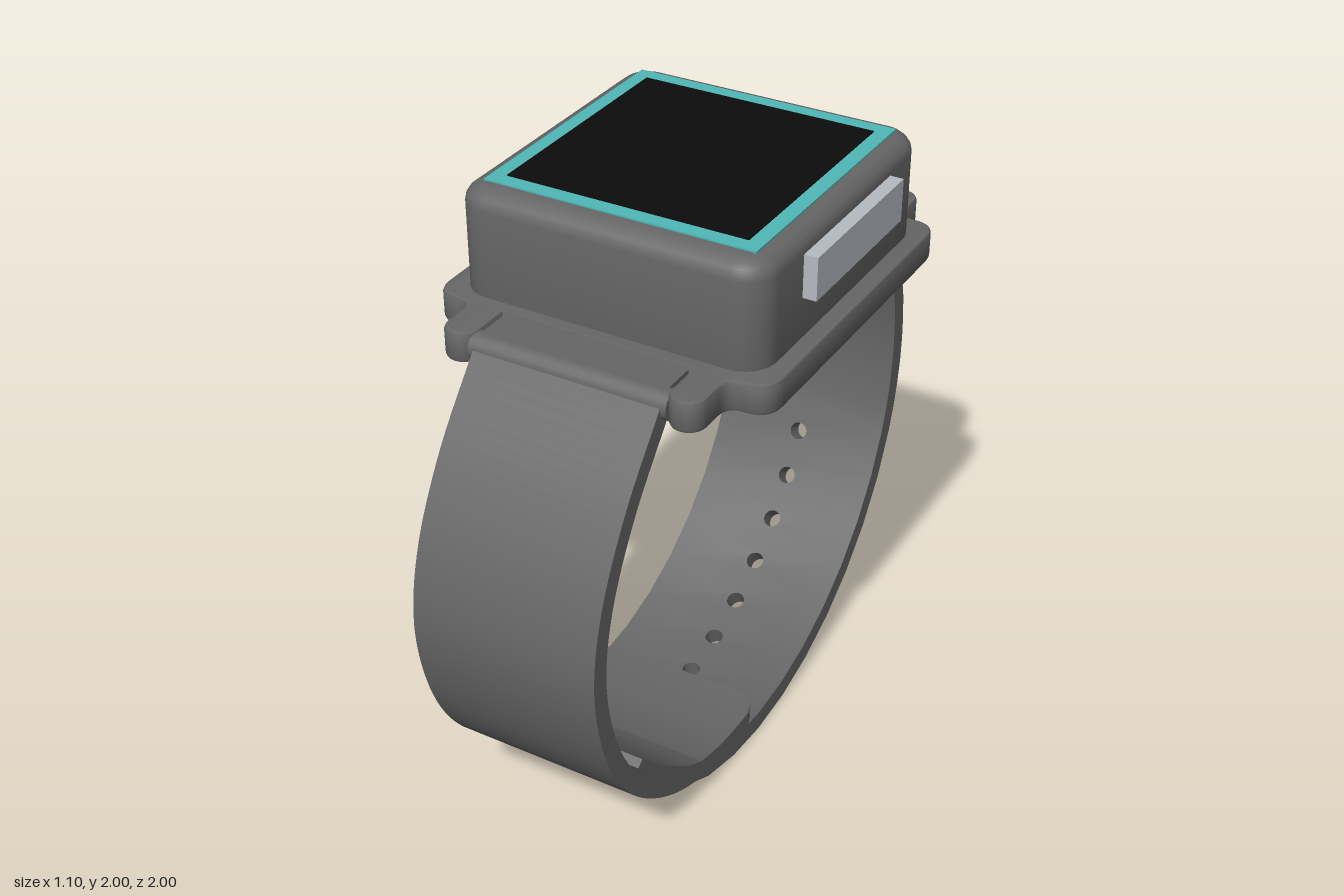
import * as THREE from 'three';
import { mergeGeometries, toCreasedNormals } from 'three/addons/utils/BufferGeometryUtils.js';

const material = (name, color) => {
  const m = new THREE.MeshStandardMaterial({ color });
  m.name = name;
  return m;
};
const CZ = -0.08;        // middle of the case in z
const HALF = 0.303;      // half width of the strap

// Upright prism from a plan outline, between two heights, with rounded rims
function prism(shape, y0, y1, bevelSize, bevelThickness, bevelSegments) {
  const g = new THREE.ExtrudeGeometry(shape, {
    depth: y1 - y0 - 2 * bevelThickness, bevelEnabled: true,
    bevelSize, bevelOffset: -bevelSize, bevelThickness, bevelSegments, curveSegments: 8,
  });
  g.rotateX(-Math.PI / 2).translate(0, y0 + bevelThickness, CZ);
  return toCreasedNormals(g, 0.6);
}

function roundedRect(w, d, r) {
  const s = new THREE.Shape(), x = w / 2, y = d / 2;
  s.absarc(x - r, y - r, r, 0, Math.PI / 2);
  s.absarc(-x + r, y - r, r, Math.PI / 2, Math.PI);
  s.absarc(-x + r, -y + r, r, Math.PI, Math.PI * 1.5);
  s.absarc(x - r, -y + r, r, Math.PI * 1.5, Math.PI * 2);
  return s;
}

// Base outline with four strap lugs: one quarter, mirrored
function plateShape() {
  const p = new THREE.Path();
  p.moveTo(0, 0.55);
  p.lineTo(0.31, 0.55);
  p.lineTo(0.31, 0.665);
  p.absarc(0.365, 0.665, 0.055, Math.PI, 0, true);
  p.lineTo(0.42, 0.6);
  p.quadraticCurveTo(0.42, 0.55, 0.47, 0.55);
  p.quadraticCurveTo(0.55, 0.55, 0.55, 0.47);
  p.lineTo(0.55, 0);
  const q = p.getPoints(8).slice(1, -1);
  const flip = (sx, sy) => q.map((v) => new THREE.Vector2(v.x * sx, v.y * sy));
  return new THREE.Shape([...q, ...flip(1, -1).reverse(), ...flip(-1, -1), ...flip(-1, 1).reverse()]);
}

// Band through sections { o: outer [z, y], i: inner [z, y], w: half width }
function band(sections) {
  const pos = [], idx = [];
  for (const { o, i, w = HALF } of sections) {
    pos.push(-w, o[1], o[0], w, o[1], o[0], w, i[1], i[0], -w, i[1], i[0]);
  }
  const n = sections.length;
  for (let k = 0; k < n - 1; k++) {
    for (let e = 0; e < 4; e++) {
      const a = k * 4 + e, b = k * 4 + (e + 1) % 4;
      idx.push(a, a + 4, b + 4, a, b + 4, b);
    }
  }
  const l = (n - 1) * 4;
  idx.push(0, 1, 2, 0, 2, 3, l, l + 2, l + 1, l, l + 3, l + 2);
  const g = new THREE.BufferGeometry();
  g.setAttribute('position', new THREE.Float32BufferAttribute(pos, 3));
  g.setIndex(idx);
  return g.toNonIndexed();
}

// Point on the strap circle; the angle runs from the bottom towards the back
const onRing = (deg, r) => {
  const a = THREE.MathUtils.degToRad(deg);
  return [-r * Math.sin(a), 1 - r * Math.cos(a)];
};
const ringSection = (deg, ro = 0.997, ri = 0.93) => ({ o: onRing(deg, ro), i: onRing(deg, ri) });

// Ten-degree strap piece with a round hole, bent onto the circle
function holedPiece(deg) {
  const R = 0.963, h = R * THREE.MathUtils.degToRad(5);
  const s = new THREE.Shape([[-h, -HALF], [h, -HALF], [h, HALF], [-h, HALF]].map((p) => new THREE.Vector2(...p)));
  s.holes.push(new THREE.Path().absarc(0, 0, 0.03, 0, Math.PI * 2, true));
  const g = new THREE.ExtrudeGeometry(s, { depth: 0.067, bevelEnabled: false, curveSegments: 16 });
  const p = g.attributes.position;
  for (let k = 0; k < p.count; k++) {
    const [z, y] = onRing(deg + THREE.MathUtils.radToDeg(p.getX(k) / R), 0.93 + p.getZ(k));
    p.setXYZ(k, p.getY(k), y, z);
  }
  g.deleteAttribute('uv');
  g.deleteAttribute('normal');
  return g;
}

function rearStrap() {
  const parts = [];
  // tongue tucked inside the front strap
  parts.push(band([ringSection(-54, 0.955, 0.925), ringSection(-50, 0.965, 0.918),
    ringSection(-40, 0.98, 0.914), ringSection(-30, 0.99, 0.922), ringSection(-20)]));
  // adjustment holes
  for (let deg = -15; deg <= 65; deg += 10) parts.push(holedPiece(deg));
  // plain upper part, pinched just below the lugs
  const upper = [];
  for (let deg = 70; deg <= 100; deg += 5) upper.push(ringSection(deg));
  upper.push({ o: [-0.957, 1.27], i: [-0.905, 1.22] },
    { o: [-0.864, 1.421], i: [-0.86, 1.419] },
    { o: [-0.8, 1.615], i: [-0.755, 1.575] });
  parts.push(band(upper));
  return toCreasedNormals(mergeGeometries(parts), 0.35);
}

function frontStrap() {
  const path = new THREE.CatmullRomCurve3([[0.6, 1.61], [0.8, 1.36], [0.925, 1.12], [0.967, 0.9],
    [0.93, 0.66], [0.84, 0.46], [0.7, 0.3], [0.5, 0.17], [0.28, 0.105], [0.1, 0.095], [0, 0.1],
  ].map(([z, y]) => new THREE.Vector3(0, y, z)));
  const sections = [], n = 60, t = 0.032;
  for (let k = 0; k <= n; k++) {
    const c = path.getPointAt(k / n), d = path.getTangentAt(k / n);
    // rounded corners at the free end
    const w = HALF - [0.05, 0.015][n - k] || HALF;
    sections.push({ o: [c.z - d.y * t, c.y + d.z * t], i: [c.z + d.y * t, c.y - d.z * t], w });
  }
  return toCreasedNormals(band(sections), 0.35);
}

export function createModel() {
  const grey = material('dark grey', 0x666666);
  const teal = material('teal', 0x50b8b8);
  const black = material('screen black', 0x0c0c0c);
  const silver = material('silver', 0xb6bbc2);

  const model = new THREE.Group();
  model.name = 'wristwatch';
  const add = (name, geometry, mat, x = 0, y = 0, z = 0) => {
    const m = new THREE.Mesh(geometry, mat);
    m.name = name;
    m.position.set(x, y, z);
    model.add(m);
    return m;
  };

  // Case and base
  add('basePlate', prism(plateShape(), 1.565, 1.663, 0.012, 0.012, 2), grey);
  add('caseBody', prism(roundedRect(0.99, 1.02, 0.1), 1.59, 1.992, 0.07, 0.055, 5), grey);

  // Display
  add('screenBorder', new THREE.BoxGeometry(0.87, 0.009, 0.875), teal, 0, 1.992, -0.087);
  add('screen', new THREE.BoxGeometry(0.775, 0.006, 0.775), black, 0, 1.997, -0.085);

  // Side button with small contacts under it
  add('sideButton', new THREE.BoxGeometry(0.05, 0.135, 0.55), silver, 0.513, 1.86, -0.09);
  for (let k = 0; k < 4; k++) {
    add('contact', new THREE.BoxGeometry(0.022, 0.03, 0.012), k === 3 ? silver : grey, 0.503, 1.781, 0.09 - k * 0.1);
  }

  // Strap bars between the lugs
  for (const [name, z] of [['frontBar', 0.59], ['rearBar', -0.745]]) {
    add(name, new THREE.CylinderGeometry(0.045, 0.045, 0.64, 20), grey, 0, 1.612, z).rotation.z = Math.PI / 2;
  }
  add('strapLoop', new THREE.BoxGeometry(0.6, 0.075, 0.12), grey, 0, 1.619, 0.535);

  // Strap halves
  add('frontStrap', frontStrap(), grey);
  add('rearStrap', rearStrap(), grey);
  return model;
}
